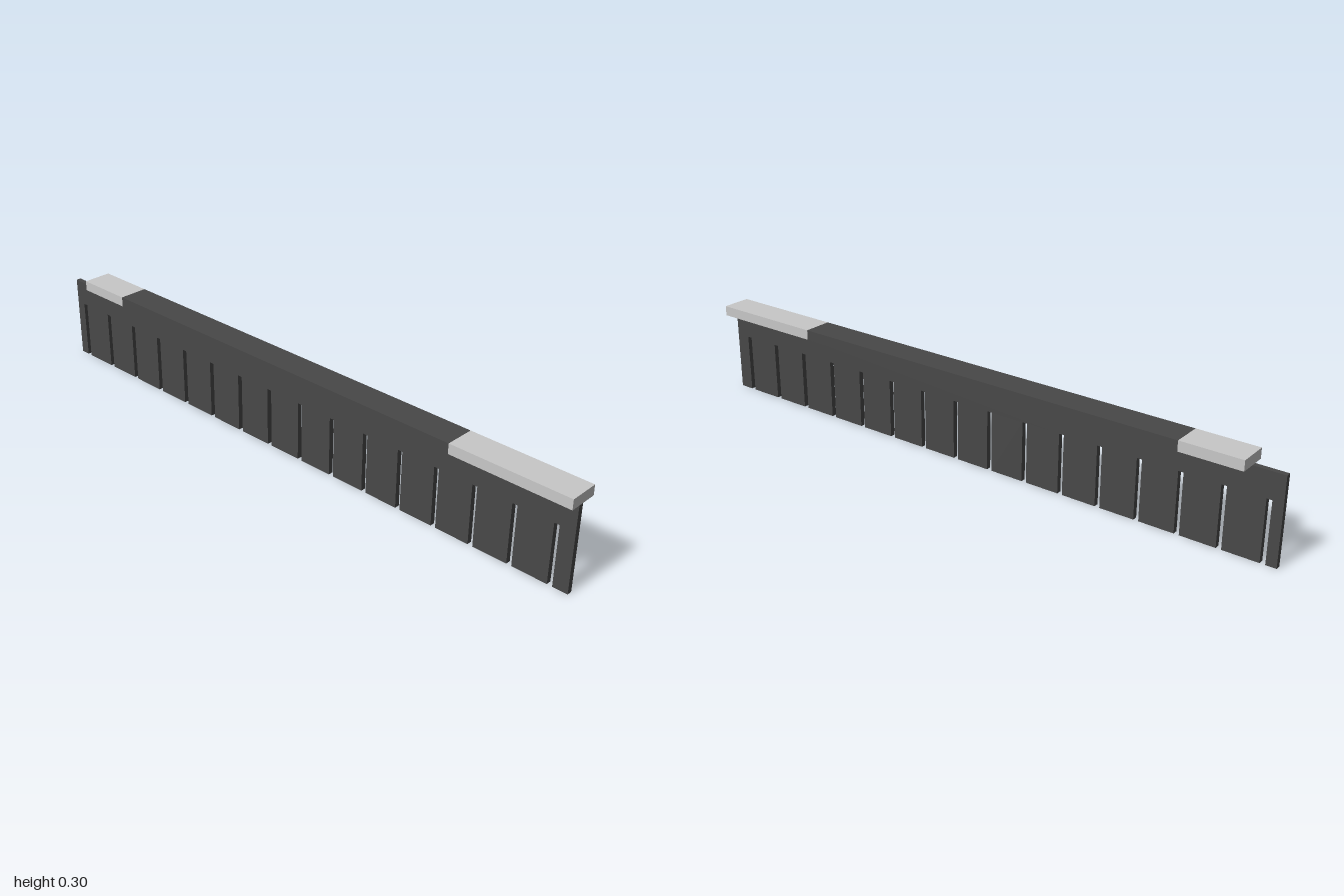
import * as THREE from 'three';

const dark = new THREE.MeshStandardMaterial({ name: 'dark grey', color: 0x484848 });
const light = new THREE.MeshStandardMaterial({ name: 'light grey', color: 0xc8c8c8 });

const PLATE_TOP = 0.27, CAP_TOP = 0.302, CAP_WIDTH = 0.094;
const SLOTS = 16, SLOT_TOP = 0.19, SLOT_WIDTH = 0.016;
const FIRST_SLOT = -0.96, SLOT_STEP = 0.127;

// Upright plate with slots cut up from its lower edge, drawn as (z, y)
function makeBlade() {
  const s = new THREE.Shape();
  s.moveTo(-1, PLATE_TOP);
  s.lineTo(-1, 0);
  for (let i = 0; i < SLOTS; i++) {
    const z = FIRST_SLOT + i * SLOT_STEP;
    const a = z - SLOT_WIDTH / 2, b = z + SLOT_WIDTH / 2;
    s.lineTo(a, 0);
    s.lineTo(a, SLOT_TOP);
    s.lineTo(b, SLOT_TOP);
    s.lineTo(b, 0);
  }
  s.lineTo(1, 0);
  s.lineTo(1, PLATE_TOP);
  s.closePath();
  const geo = new THREE.ExtrudeGeometry(s, { depth: 0.016, bevelEnabled: false });
  geo.rotateY(-Math.PI / 2); // shape x becomes z, thickness runs to -x
  const mesh = new THREE.Mesh(geo, dark);
  mesh.name = 'slottedPlate';
  return mesh;
}

// One length of the top rail between two z positions
function makeRail(name, z0, z1, material) {
  const geo = new THREE.BoxGeometry(CAP_WIDTH, CAP_TOP - PLATE_TOP, z1 - z0);
  const mesh = new THREE.Mesh(geo, material);
  mesh.position.set(0, (CAP_TOP + PLATE_TOP) / 2, (z0 + z1) / 2);
  mesh.name = name;
  return mesh;
}

export function createModel() {
  const model = new THREE.Group();
  model.name = 'slottedRail';
  model.add(
    makeBlade(),
    makeRail('railBackEnd', -0.905, -0.715, light),
    makeRail('railMiddle', -0.715, 0.62, dark),
    makeRail('railFrontEnd', 0.62, 1, light)
  );
  return model;
}
